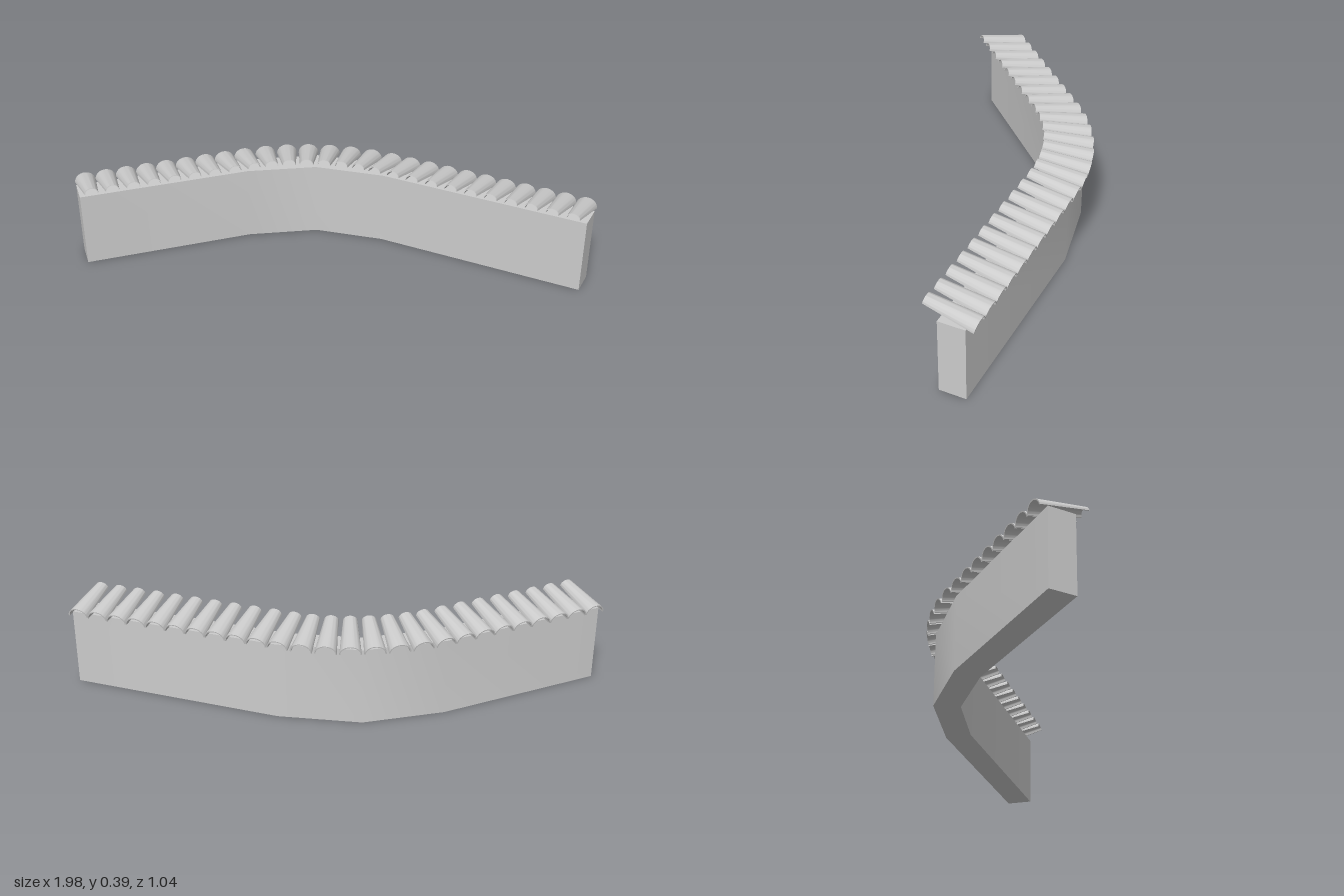
import * as THREE from 'three';
import { toCreasedNormals } from 'three/addons/utils/BufferGeometryUtils.js';

const RADIUS = 0.815, TURN = Math.PI / 4;      // bend of the wall's centre line
const START = 0.715, END = 0.893;              // straight lengths before and after the bend
const ARC = RADIUS * TURN, TOTAL = START + ARC + END;
const HEIGHT = 0.318, HALF = 0.055;
const TILES = 26;

// Point and heading at distance s along the centre line
function pathAt(s) {
  const a = THREE.MathUtils.clamp((s - START) / RADIUS, 0, TURN);
  const before = Math.min(s, START), after = Math.max(0, s - START - ARC);
  return {
    x: -1 + before + RADIUS * Math.sin(a) + after * Math.cos(a),
    z: -0.44 + RADIUS * (1 - Math.cos(a)) + after * Math.sin(a),
    a,
  };
}

// Wall: plan outline extruded upwards, bend in two smooth-shaded facets
function wallGeometry() {
  const side = (offset) => [0, START, START + ARC / 2, START + ARC, TOTAL].map((s) => {
    const p = pathAt(s);
    return new THREE.Vector2(p.x - Math.sin(p.a) * offset, -(p.z + Math.cos(p.a) * offset));
  });
  const outline = new THREE.Shape([...side(HALF), ...side(-HALF).reverse()]);
  const g = new THREE.ExtrudeGeometry(outline, { depth: HEIGHT, bevelEnabled: false });
  g.rotateX(-Math.PI / 2);
  return toCreasedNormals(g, 0.5);
}

// Tile: thin half-round shell, tapering and rising towards the front
function tileGeometry() {
  const length = 0.21, r = 0.0435, thick = 0.005;
  const arch = new THREE.Shape();
  arch.absarc(0, 0, r, 0, Math.PI, false);
  arch.absarc(0, 0, r - thick, Math.PI, 0, true);
  arch.closePath();
  const g = new THREE.ExtrudeGeometry(arch, { depth: length, bevelEnabled: false, curveSegments: 12 });
  const pos = g.attributes.position;
  for (let i = 0; i < pos.count; i++) {
    const k = 1 - 0.35 * pos.getZ(i) / length;
    pos.setX(i, pos.getX(i) * k);
    pos.setY(i, pos.getY(i) * k * 0.86);
  }
  g.rotateX(-0.225);
  g.translate(0, 0.315, -0.086);
  return toCreasedNormals(g, 0.7);
}

export function createModel() {
  const model = new THREE.Group();
  model.name = 'curvedTiledWall';
  const material = new THREE.MeshStandardMaterial({ color: 0xcccccc });

  const wall = new THREE.Mesh(wallGeometry(), material);
  wall.name = 'wall';
  model.add(wall);

  // Row of roof tiles along the top
  const tiles = new THREE.Group();
  tiles.name = 'roofTiles';
  const geometry = tileGeometry();
  for (let i = 0; i < TILES; i++) {
    const p = pathAt((i + 0.5) * TOTAL / TILES);
    const tile = new THREE.Mesh(geometry, material);
    tile.name = 'roofTile';
    tile.position.set(p.x, 0, p.z);
    tile.rotation.y = -p.a;
    tiles.add(tile);
  }
  model.add(tiles);
  return model;
}
